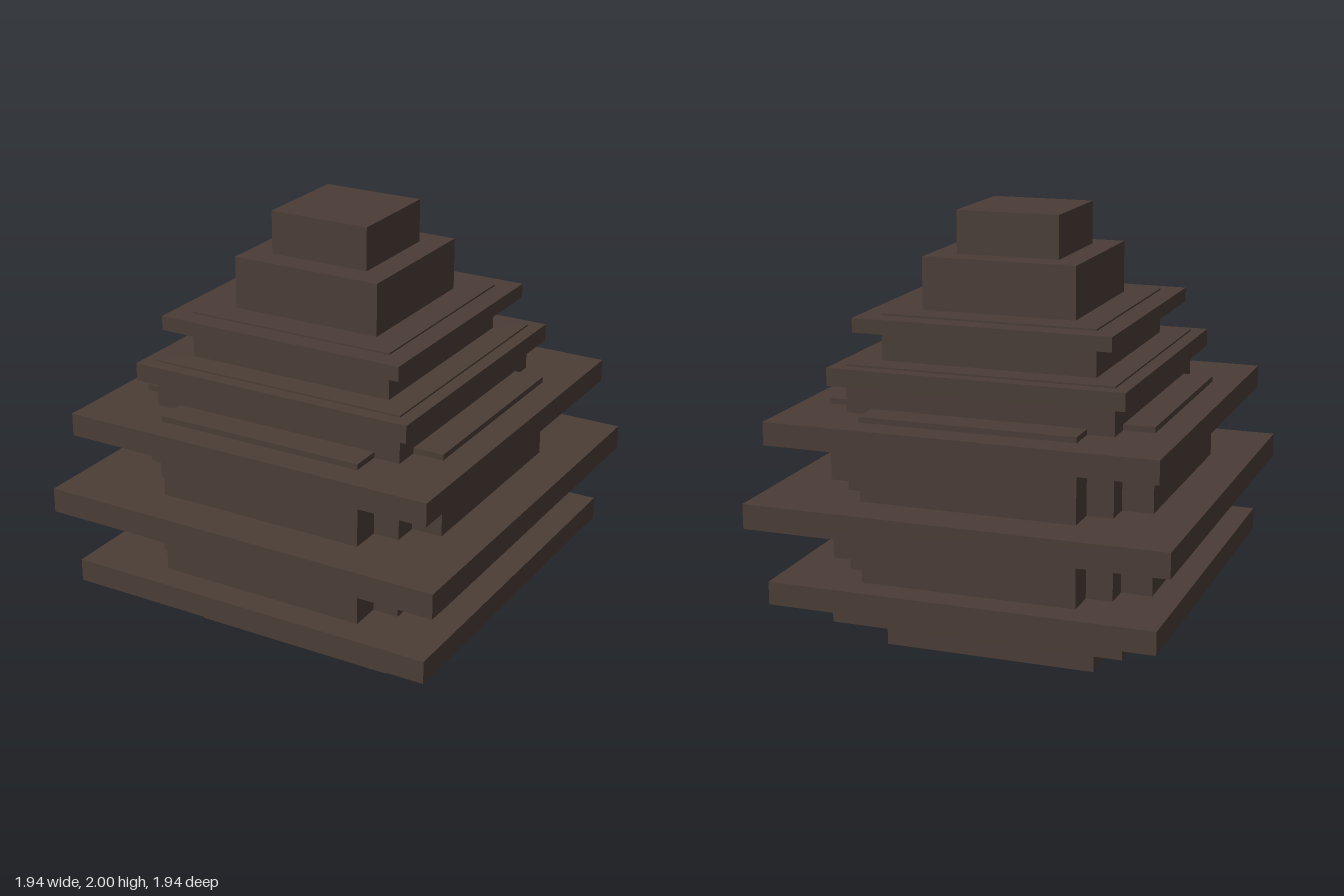
import * as THREE from 'three';

export function createModel() {
  const model = new THREE.Group();
  model.name = 'steppedTower';
  const darkBrown = new THREE.MeshStandardMaterial({ color: 0x4a3d36 });
  darkBrown.name = 'darkBrown';

  // Box centred on the axis, given half widths and its bottom and top heights
  function block(name, halfX, halfZ, bottom, top) {
    const mesh = new THREE.Mesh(
      new THREE.BoxGeometry(halfX * 2, top - bottom, halfZ * 2), darkBrown);
    mesh.position.y = (bottom + top) / 2;
    mesh.name = name;
    model.add(mesh);
  }

  // Nested body: tall core, wider middle, and two crossing arms
  block('core', 0.5, 0.5, 0, 1.562);
  block('middleBody', 0.622, 0.622, 0.143, 1.349);
  block('sideArms', 0.765, 0.5, 0.268, 1.155);
  block('frontBackArms', 0.5, 0.765, 0.268, 1.155);

  // Overhanging square ledges: half width, bottom, top
  const ledges = [
    [0.686, 0.154, 0.232],
    [0.897, 0.285, 0.392],
    [0.971, 0.654, 0.769],
    [0.897, 1.023, 1.129],
    [0.686, 1.26, 1.341],
    [0.598, 1.488, 1.554],
  ];
  ledges.forEach(([half, bottom, top], i) => block(`ledge${i + 1}`, half, half, bottom, top));

  // Stepped cap
  block('capBase', 0.36, 0.36, 1.562, 1.802);
  block('capTop', 0.241, 0.241, 1.802, 2);

  return model;
}
